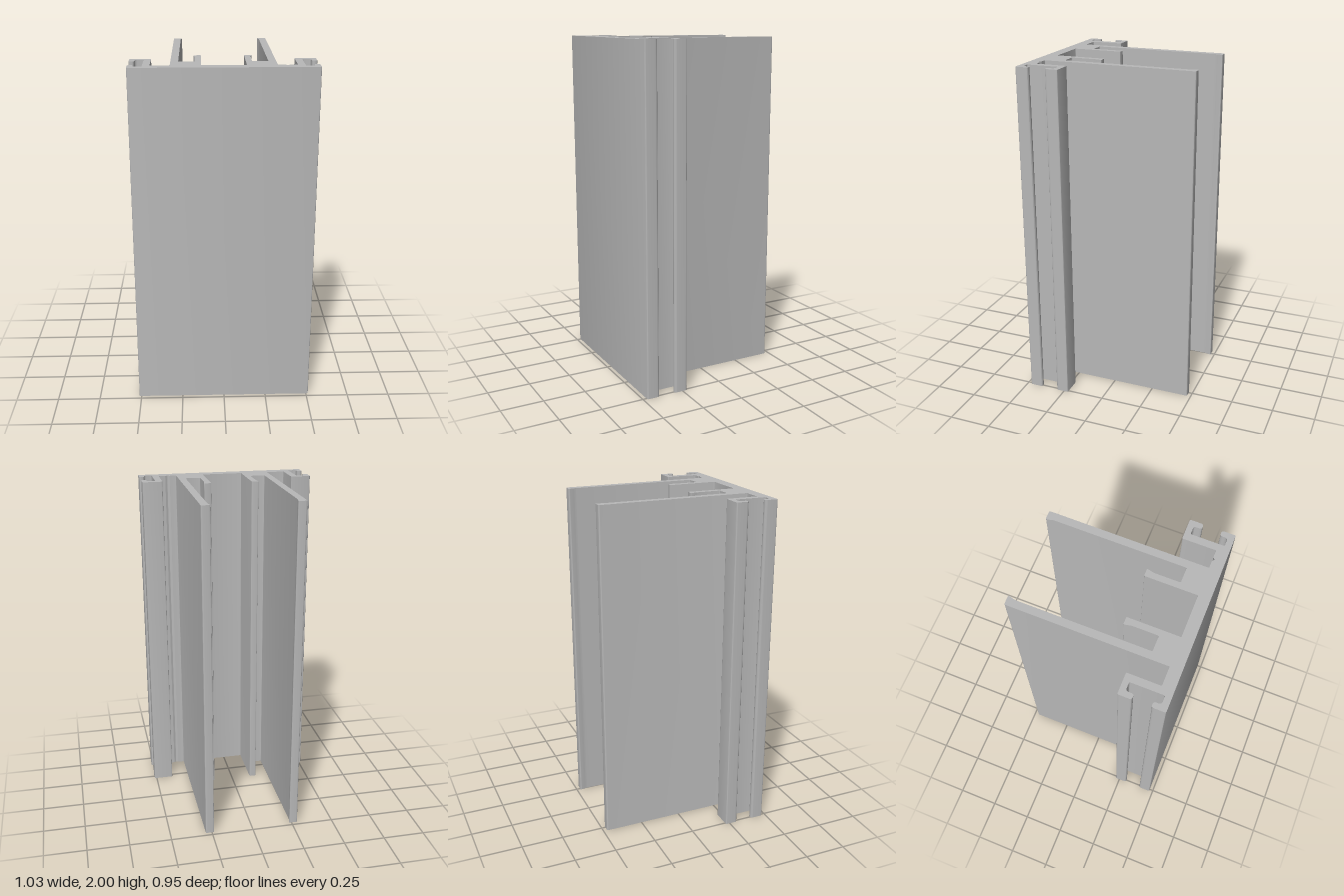
import * as THREE from 'three';
import { toCreasedNormals } from 'three/addons/utils/BufferGeometryUtils.js';

// Half of the cross-section as [x, z, cornerRadius], from front corner to centre web
const half = [
  [0.513, 0.4765, 0.008],
  // front hook
  [0.513, 0.4, 0.014], [0.482, 0.4, 0.014], [0.482, 0.442, 0.016], [0.434, 0.442, 0.008],
  // rear hook
  [0.434, 0.256, 0.008], [0.482, 0.256, 0.014], [0.482, 0.3, 0.014], [0.513, 0.3, 0.014],
  [0.513, 0.224, 0.008], [0.394, 0.224, 0.006], [0.394, 0.41, 0.006],
  // long fin with inner bead
  [0.287, 0.41, 0.005], [0.287, -0.4765, 0.008], [0.236, -0.4765, 0.008],
  [0.237, -0.464, 0.003], [0.2445, -0.435, 0.01], [0.2445, 0.304, 0.008],
  // short fin with outer bead
  [0.156, 0.304, 0.008], [0.156, 0.16, 0.01], [0.1635, 0.126, 0.003],
  [0.1635, 0.118, 0.005], [0.1215, 0.118, 0.005], [0.1215, 0.41, 0.005],
];
// Small marking groove, on the model's left only
const groove = [[0.352, 0.41, 0.002], [0.34, 0.42, 0.003], [0.328, 0.41, 0.002]];

// Closed shape with each corner rounded by its radius
function roundedShape(points) {
  const shape = new THREE.Shape();
  const n = points.length;
  points.forEach(([x, z, r], i) => {
    const p = new THREE.Vector2(x, -z);
    const toward = ([qx, qz]) => {
      const d = new THREE.Vector2(qx, -qz).sub(p);
      return p.clone().addScaledVector(d, Math.min(r / d.length(), 0.48));
    };
    const a = toward(points[(i + n - 1) % n]);
    const b = toward(points[(i + 1) % n]);
    if (i === 0) shape.moveTo(a.x, a.y);
    else shape.lineTo(a.x, a.y);
    shape.quadraticCurveTo(p.x, p.y, b.x, b.y);
  });
  shape.closePath();
  return shape;
}

export function createModel() {
  const aluminium = new THREE.MeshStandardMaterial({ color: 0xb8b8b8 });
  aluminium.name = 'aluminium grey';

  const left = [...half.slice(0, 12), ...groove, ...half.slice(12)];
  const right = half.map(([x, z, r]) => [-x, z, r]).reverse();

  // Extrude upward: shape y becomes -z
  const geometry = new THREE.ExtrudeGeometry(roundedShape([...left, ...right]), {
    depth: 2, bevelEnabled: false, curveSegments: 6,
  });
  geometry.rotateX(-Math.PI / 2);

  const profile = new THREE.Mesh(toCreasedNormals(geometry, 0.6), aluminium);
  profile.name = 'extrudedProfile';

  const group = new THREE.Group();
  group.name = 'frameProfile';
  group.add(profile);
  return group;
}
